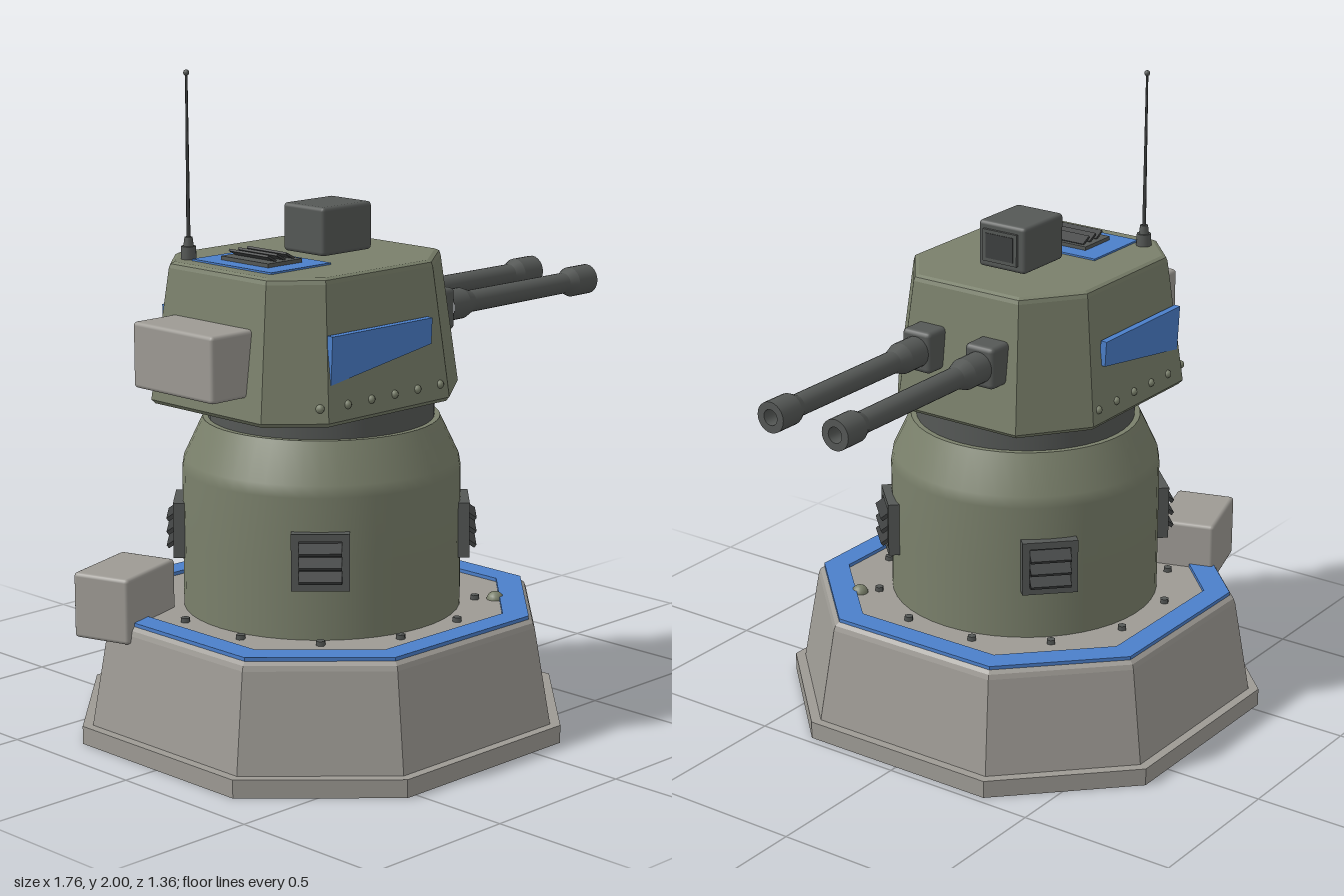
import * as THREE from 'three';
import { RoundedBoxGeometry } from 'three/addons/geometries/RoundedBoxGeometry.js';

const mat = (name, color, extra = {}) => {
  const m = new THREE.MeshStandardMaterial({ color, ...extra });
  m.name = name;
  return m;
};

// Joins stacked convex outlines (counter-clockwise from above) into a closed, faceted solid
function loft(rings) {
  const pos = [];
  const tri = (...pts) => pts.forEach(p => pos.push(p.x, p.y, p.z));
  const n = rings[0].length;
  for (let k = 0; k + 1 < rings.length; k++) {
    for (let i = 0; i < n; i++) {
      const j = (i + 1) % n;
      const a = rings[k][i], b = rings[k][j], c = rings[k + 1][j], d = rings[k + 1][i];
      tri(a, b, c);
      tri(a, c, d);
    }
  }
  const bottom = rings[0], top = rings[rings.length - 1];
  for (let i = 1; i + 1 < n; i++) {
    tri(bottom[0], bottom[i + 1], bottom[i]);
    tri(top[0], top[i], top[i + 1]);
  }
  const g = new THREE.BufferGeometry();
  g.setAttribute('position', new THREE.Float32BufferAttribute(pos, 3));
  g.computeVertexNormals();
  return g;
}

// Square with cut corners, half width r
const octagon = r => {
  const h = r * 0.485;
  return [[r, -h], [r, h], [h, r], [-h, r], [-r, h], [-r, -h], [-h, -r], [h, -r]]
    .map(([x, y]) => new THREE.Vector2(x, y));
};

export function createModel() {
  const model = new THREE.Group();
  const CX = -0.205; // axis of the base and pedestal
  const stone = mat('light grey', 0x9d9a94);
  const olive = mat('olive', 0x7a806b);
  const dark = mat('dark grey', 0x555856);
  const black = mat('charcoal', 0x3d3f3f);
  const blue = mat('blue', 0x4b7fca);

  const add = (name, geo, material, x = 0, y = 0, z = 0, parent = model) => {
    const m = new THREE.Mesh(geo, material);
    m.name = name;
    m.position.set(x, y, z);
    parent.add(m);
    return m;
  };
  const box = (w, h, d, r = 0) => r ? new RoundedBoxGeometry(w, h, d, 2, r) : new THREE.BoxGeometry(w, h, d);
  const cyl = (r1, r2, h, n = 24) => new THREE.CylinderGeometry(r1, r2, h, n);

  // Octagonal base
  const baseRing = ([r, y]) => octagon(r).map(p => new THREE.Vector3(p.x, y, -p.y));
  add('baseFlange', loft([[0.68, 0], [0.68, 0.055]].map(baseRing)), stone, CX);
  add('base', loft([[0.652, 0.05], [0.605, 0.35], [0.6, 0.365], [0.588, 0.375]].map(baseRing)), stone, CX);
  const ring = new THREE.Shape(octagon(0.588));
  ring.holes.push(new THREE.Path(octagon(0.515).reverse()));
  const ringGeo = new THREE.ExtrudeGeometry(ring, { depth: 0.012, bevelEnabled: false });
  ringGeo.rotateX(-Math.PI / 2);
  add('baseStripe', ringGeo, blue, CX, 0.374, 0);
  for (let i = 0; i < 12; i++) {
    const a = (15 + 30 * i) * Math.PI / 180;
    add('baseBolt', cyl(0.014, 0.014, 0.016, 6), dark, CX + 0.466 * Math.cos(a), 0.381, 0.466 * Math.sin(a));
  }
  add('baseKnob', new THREE.SphereGeometry(0.027, 16, 10), olive, 0.17, 0.372, 0.372);
  add('baseLocker', box(0.27, 0.2, 0.19, 0.012), stone, -0.725, 0.425, -0.312).rotation.y = 0.3;

  // Round pedestal and turning collar
  const profile = [[0.42, 0.37], [0.42, 0.6], [0.42, 0.8], [0.414, 0.835], [0.357, 0.955]];
  add('pedestal', new THREE.LatheGeometry(profile.map(p => new THREE.Vector2(...p)), 48), olive, CX);
  add('pedestalTop', cyl(0.357, 0.357, 0.005, 48), olive, CX, 0.953, 0);
  add('collar', cyl(0.34, 0.34, 0.09, 48), dark, CX, 0.992, 0);

  // Louvred vents on the pedestal diagonals
  for (let i = 0; i < 4; i++) {
    const a = Math.PI / 4 + i * Math.PI / 2;
    const vent = new THREE.Group();
    vent.name = 'pedestalVent';
    vent.position.set(CX + 0.43 * Math.sin(a), 0.615, 0.43 * Math.cos(a));
    vent.rotation.y = a;
    model.add(vent);
    add('ventBack', box(0.15, 0.15, 0.03), black, 0, 0, -0.012, vent);
    for (const s of [-1, 1]) {
      add('ventFrameSide', box(0.022, 0.17, 0.05), dark, s * 0.074, 0, -0.01, vent);
      add('ventFrameBar', box(0.17, 0.022, 0.05), dark, 0, s * 0.074, -0.01, vent);
    }
    for (let k = -1; k <= 1; k++) {
      add('ventSlat', box(0.125, 0.012, 0.05), black, 0, k * 0.042, 0.013, vent).rotation.x = 0.6;
    }
  }

  // Turret shell, tapered toward the roof
  const TX = -0.2575;
  const outline = [[0.4175, -0.22], [0.2225, -0.367], [-0.2775, -0.367], [-0.4175, -0.235],
    [-0.4175, 0.235], [-0.2775, 0.367], [0.2225, 0.367], [0.4175, 0.22]];
  const shellRing = ([s, y]) => outline.map(([x, z]) => new THREE.Vector3(x * s, y, z * s));
  add('turret', loft([[0.975, 1.025], [1, 1.037], [0.878, 1.427], [0.868, 1.439], [0.84, 1.445]].map(shellRing)), olive, TX);

  // Side markings and rivets
  const mark = new THREE.Shape([[-0.515, 0], [-0.515, -0.142], [-0.105, -0.078], [-0.105, 0]]
    .map(p => new THREE.Vector2(...p)));
  const markGeo = new THREE.ExtrudeGeometry(mark, { depth: 0.02, bevelEnabled: false });
  markGeo.translate(0, 0, -0.01);
  for (const s of [-1, 1]) {
    add('sideMarking', markGeo, blue, 0, 1.285, s * 0.353).rotation.x = s * 0.05;
    for (let i = 0; i < 6; i++) {
      add('rivet', new THREE.SphereGeometry(0.013, 10, 8), olive, -0.55 + i * 0.096, 1.08, s * (i ? 0.36 : 0.347));
    }
  }

  // Rear stowage box
  add('rearBox', box(0.19, 0.195, 0.34, 0.012), stone, -0.7, 1.198, -0.005);

  // Roof panel with grille
  add('roofPanel', box(0.24, 0.009, 0.335), blue, -0.445, 1.446, -0.003);
  add('roofGrille', box(0.135, 0.02, 0.2), dark, -0.447, 1.452, 0);
  for (let k = 0; k < 3; k++) {
    add('roofSlat', box(0.038, 0.007, 0.165), black, -0.482 + k * 0.036, 1.471, 0).rotation.z = -0.5;
  }

  // Sensor box with front window
  add('sensorBox', box(0.205, 0.145, 0.172, 0.012), dark, -0.172, 1.523, -0.004);
  add('sensorWindow', box(0.015, 0.1, 0.125), dark, -0.068, 1.523, -0.002);
  add('sensorGlass', box(0.004, 0.078, 0.1), black, -0.0605, 1.523, -0.002);

  // Antenna
  add('antennaFoot', cyl(0.022, 0.024, 0.04, 12), dark, -0.547, 1.463, -0.205);
  add('antennaSocket', cyl(0.012, 0.016, 0.03, 12), dark, -0.547, 1.495, -0.205);
  add('antennaMast', cyl(0.0035, 0.006, 0.5, 8), black, -0.547, 1.745, -0.205);
  add('antennaTip', new THREE.SphereGeometry(0.009, 10, 8), dark, -0.547, 1.991, -0.205);

  // Twin guns
  const barrel = [[0.048, 0], [0.048, 0.075], [0.034, 0.115], [0.033, 0.56],
    [0.047, 0.59], [0.047, 0.675], [0.024, 0.675], [0.024, 0.6]];
  for (const z of [-0.117, 0.115]) {
    add('gunMount', box(0.13, 0.13, 0.105, 0.015), dark, 0.14, 1.245, z);
    // each band is its own surface so that its rims stay sharp
    for (let i = 0; i + 1 < barrel.length; i++) {
      const pts = [barrel[i], barrel[i + 1]].map(p => new THREE.Vector2(...p));
      add('gunBarrel', new THREE.LatheGeometry(pts, 24), dark, 0.205, 1.245, z).rotation.z = -Math.PI / 2;
    }
    add('gunBore', new THREE.CircleGeometry(0.024, 24), black, 0.806, 1.245, z).rotation.y = Math.PI / 2;
  }
  return model;
}
